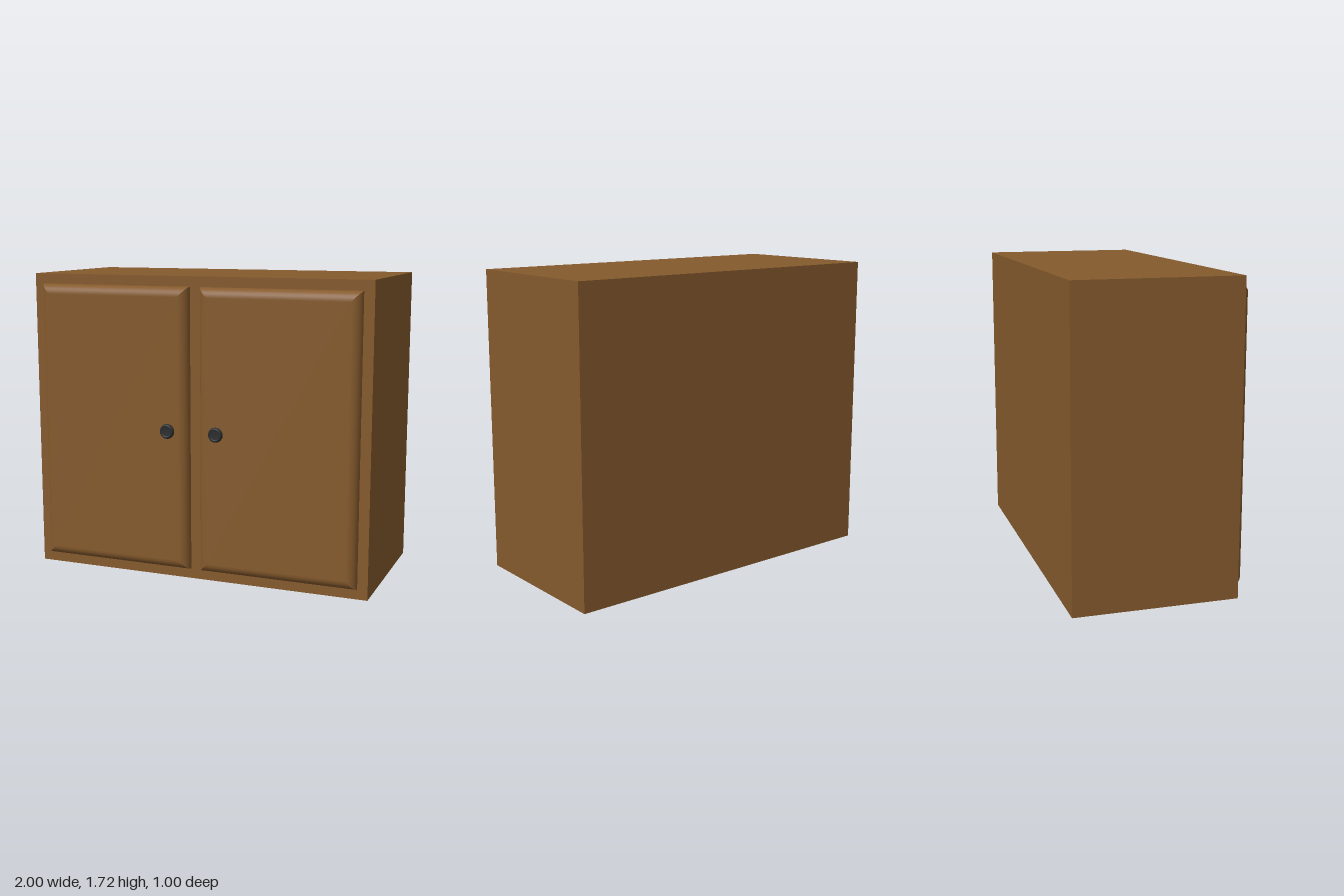
import * as THREE from 'three';

const wood = new THREE.MeshStandardMaterial({ color: 0x855a2d });
const iron = new THREE.MeshStandardMaterial({ color: 0x2b2d2e });

// Door slab: rounded-over front edge with mitred corners, smooth along the curve.
function doorGeometry(w, h, depth, round, steps = 8) {
  const pos = [], nor = [], idx = [];
  const corners = [[-1, -1], [1, -1], [1, 1], [-1, 1]];
  const sides = [[0, -1], [1, 0], [0, 1], [-1, 0]];
  const point = ([sx, sy], inset, z) => [sx * (w / 2 - inset), sy * (h / 2 - inset), z];
  sides.forEach(([nx, ny], s) => {
    const base = pos.length / 3;
    for (let i = 0; i <= steps; i++) {
      const a = (i / steps) * Math.PI / 2;
      const inset = round * (1 - Math.cos(a)), z = depth * Math.sin(a);
      const n = new THREE.Vector3(nx * Math.cos(a) / round, ny * Math.cos(a) / round, Math.sin(a) / depth).normalize();
      for (const c of [corners[s], corners[(s + 1) % 4]]) {
        pos.push(...point(c, inset, z));
        nor.push(n.x, n.y, n.z);
      }
      if (i < steps) {
        const k = base + i * 2;
        idx.push(k, k + 1, k + 3, k, k + 3, k + 2);
      }
    }
  });
  // flat front panel and back
  for (const [inset, z, nz] of [[round, depth, 1], [0, 0, -1]]) {
    const k = pos.length / 3;
    for (const c of corners) {
      pos.push(...point(c, inset, z));
      nor.push(0, 0, nz);
    }
    idx.push(...(nz > 0 ? [k, k + 1, k + 2, k, k + 2, k + 3] : [k, k + 2, k + 1, k, k + 3, k + 2]));
  }
  const g = new THREE.BufferGeometry();
  g.setAttribute('position', new THREE.Float32BufferAttribute(pos, 3));
  g.setAttribute('normal', new THREE.Float32BufferAttribute(nor, 3));
  g.setIndex(idx);
  return g;
}

// Round knob with a raised rim and shallow dished face, turned to face +z.
function knobGeometry() {
  const profile = [
    [0, 0], [0.03, 0], [0.036, 0.003], [0.041, 0.009], [0.042, 0.016],
    [0.04, 0.023], [0.036, 0.028], [0.032, 0.03], [0.028, 0.028], [0.025, 0.026], [0, 0.026],
  ].map(([r, y]) => new THREE.Vector2(r, y));
  return new THREE.LatheGeometry(profile, 24).rotateX(Math.PI / 2);
}

export function createModel() {
  const model = new THREE.Group();
  model.name = 'cabinet';
  const add = (name, geometry, material, x, y, z) => {
    const mesh = new THREE.Mesh(geometry, material);
    mesh.name = name;
    mesh.position.set(x, y, z);
    model.add(mesh);
  };

  const height = 1.72, back = -0.5, front = 0.415, doorDepth = 0.055;
  add('cabinetBody', new THREE.BoxGeometry(2, height, front - back), wood, 0, height / 2, (front + back) / 2);

  // Mirrored pair of doors, each with its knob near the middle
  const door = doorGeometry(0.91, 1.605, doorDepth, 0.055);
  const knob = knobGeometry();
  for (const [side, label] of [[1, 'left'], [-1, 'right']]) {
    add(label + 'Door', door, wood, side * 0.487, height / 2, front);
    add(label + 'Knob', knob, iron, side * 0.145, height / 2 + 0.002, front + doorDepth);
  }
  return model;
}
